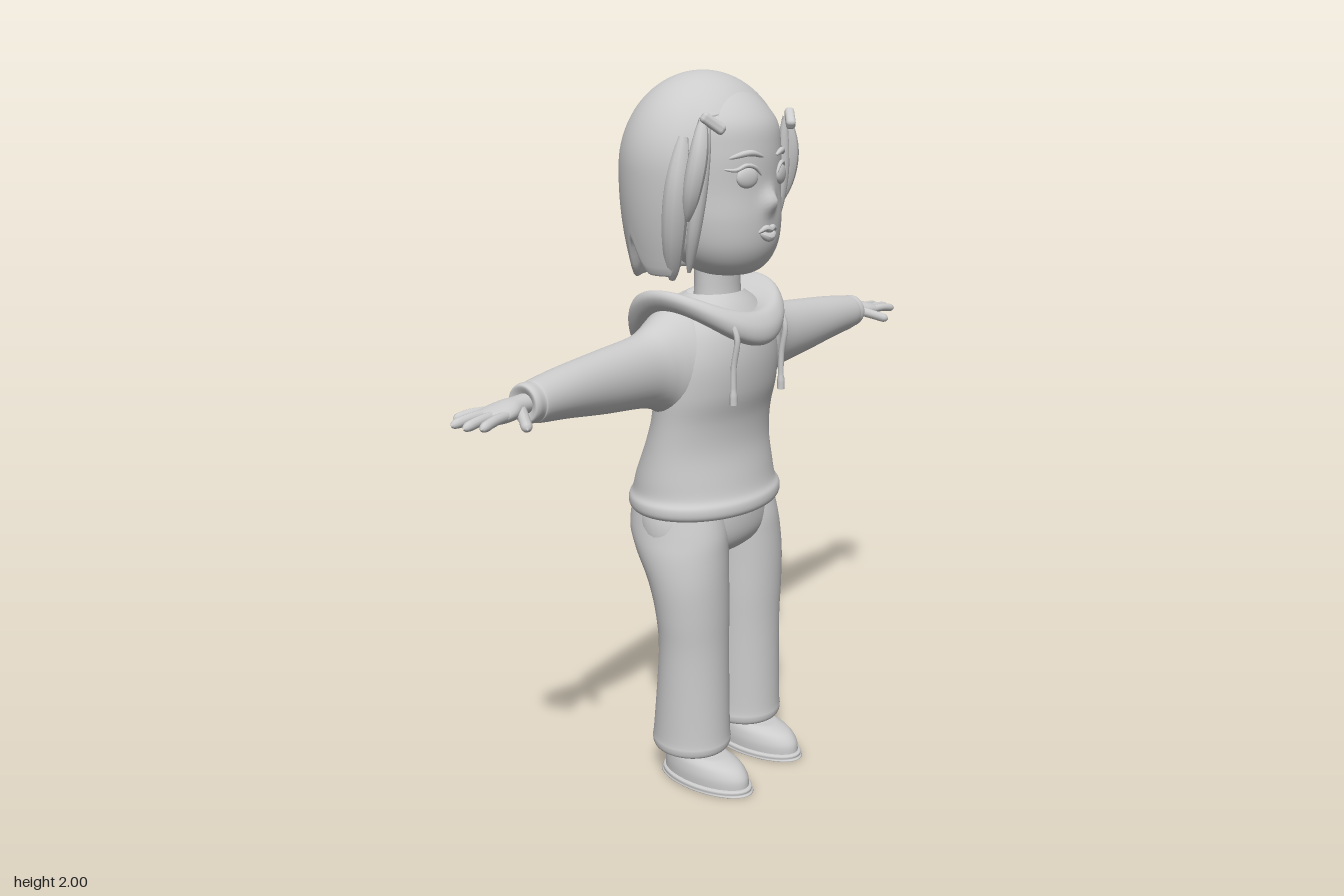
import * as THREE from 'three';
import { RoundedBoxGeometry } from 'three/addons/geometries/RoundedBoxGeometry.js';

const grey = new THREE.MeshStandardMaterial({ color: 0xcccccc });
const greyBoth = new THREE.MeshStandardMaterial({ color: 0xcccccc, side: THREE.DoubleSide });
const MID = -0.014; // x of the body's middle

// Smooth skin over a list of section keys; toPoint(key, angle) places each vertex
function loft(keys, toPoint, { steps = 5, sides = 40 } = {}) {
  const rows = [];
  const at = (i) => keys[Math.min(Math.max(i, 0), keys.length - 1)];
  for (let i = 0; i < keys.length - 1; i++) {
    for (let s = 0; s < steps; s++) {
      const t = s / steps;
      rows.push(keys[i].map((_, k) => {
        const [a, b, c, d] = [at(i - 1)[k], at(i)[k], at(i + 1)[k], at(i + 2)[k]];
        return b + 0.5 * t * (c - a + t * (2 * a - 5 * b + 4 * c - d + t * (3 * (b - c) + d - a)));
      }));
    }
  }
  rows.push(at(keys.length));
  const pos = [], index = [];
  rows.forEach((row, i) => {
    for (let j = 0; j < sides; j++) {
      pos.push(...toPoint(row, (j / sides) * Math.PI * 2));
      if (i === rows.length - 1) continue;
      const n = (j + 1) % sides;
      const a = i * sides + j, b = i * sides + n, c = a + sides, d = b + sides;
      index.push(a, b, d, a, d, c);
    }
  });
  const g = new THREE.BufferGeometry();
  g.setAttribute('position', new THREE.Float32BufferAttribute(pos, 3));
  g.setIndex(index);
  g.computeVertexNormals();
  return g;
}

// Upright section: [y, centre x, half width, front z, back z]
const upright = ([y, cx, rx, zf, zb], a) =>
  [cx + rx * Math.sin(a), y, (zf + zb) / 2 + (zf - zb) / 2 * Math.cos(a)];
// Section along x: [x, centre y, half height, centre z, half depth]
const sideways = ([x, cy, ry, cz, rz], a) => [x, cy + ry * Math.cos(a), cz + rz * Math.sin(a)];

// Tapered strand along a curve
function strand(points, radius, taper = (t) => Math.sqrt(Math.sin(Math.PI * (0.04 + 0.94 * t)))) {
  const curve = new THREE.CatmullRomCurve3(points.map((p) => new THREE.Vector3(...p)));
  const n = 24, sides = 12;
  const g = new THREE.TubeGeometry(curve, n, radius, sides);
  const p = g.attributes.position, v = new THREE.Vector3();
  for (let i = 0; i <= n; i++) {
    const c = curve.getPointAt(i / n);
    for (let j = 0; j <= sides; j++) {
      const k = i * (sides + 1) + j;
      v.fromBufferAttribute(p, k).sub(c).multiplyScalar(taper(i / n)).add(c);
      p.setXYZ(k, v.x, v.y, v.z);
    }
  }
  g.computeVertexNormals();
  return g;
}

function mirrored(geometry) {
  const g = geometry.clone();
  const p = g.attributes.position, n = g.attributes.normal;
  for (let i = 0; i < p.count; i++) {
    p.setX(i, -p.getX(i));
    n.setX(i, -n.getX(i));
  }
  if (!g.index) g.setIndex([...Array(p.count).keys()]);
  const ix = g.index.array;
  for (let i = 0; i < ix.length; i += 3) [ix[i], ix[i + 1]] = [ix[i + 1], ix[i]];
  return g;
}

const smooth = THREE.MathUtils.smoothstep;
const faceZ = (x) => 0.025 + 0.17 * Math.sqrt(1 - (x / 0.18) ** 2);

export function createModel() {
  const model = new THREE.Group();
  const add = (name, geometry, mat = grey, x = MID) => {
    const m = new THREE.Mesh(geometry, mat);
    m.name = name;
    m.position.x = x;
    model.add(m);
  };
  const pair = (name, g, mat = grey, x = MID) => {
    add('left' + name, g, mat, x);
    add('right' + name, mirrored(g), mat, x);
  };

  // Head with a small nose and chin
  add('head', loft([
    [1.468, 0, 0.01, 0.08, 0.06], [1.475, 0, 0.07, 0.13, 0], [1.5, 0, 0.12, 0.165, -0.05],
    [1.55, 0, 0.157, 0.19, -0.1], [1.62, 0, 0.175, 0.197, -0.13], [1.7, 0, 0.18, 0.193, -0.15],
    [1.8, 0, 0.182, 0.193, -0.16], [1.88, 0, 0.17, 0.175, -0.15], [1.95, 0, 0.1, 0.1, -0.1],
    [1.96, 0, 0, 0, 0]], (k, a) => {
    const p = upright(k, a);
    if (p[2] > 0) p[2] += 0.028 * Math.exp(-((p[0] / 0.024) ** 2) - ((p[1] - 1.67) / 0.028) ** 2);
    return p;
  }, { sides: 72, steps: 7 }));
  add('neck', loft([[1.36, 0, 0.085, 0.1, -0.05], [1.42, 0, 0.075, 0.085, -0.03],
    [1.54, 0, 0.075, 0.085, -0.03]], upright));

  // Eyes, lashes and brows follow the curve of the face
  const eye = new THREE.SphereGeometry(1, 24, 16).scale(0.034, 0.027, 0.012);
  eye.rotateY(0.3).translate(0.075, 1.735, faceZ(0.075) - 0.001);
  pair('Eye', eye);
  const onFace = (pts) => pts.map(([x, y]) => [x, y, faceZ(x) + 0.003]);
  pair('Lash', strand(onFace([[0.035, 1.74], [0.055, 1.76], [0.08, 1.766], [0.105, 1.755], [0.13, 1.757]]), 0.006));
  pair('Brow', strand(onFace([[0.03, 1.787], [0.07, 1.797], [0.12, 1.785]]), 0.008));
  // Lips
  add('upperLip', strand([[-0.04, 1.592, 0.19], [-0.015, 1.602, 0.197], [0, 1.598, 0.199],
    [0.015, 1.602, 0.197], [0.04, 1.592, 0.19]], 0.009));
  add('lowerLip', strand([[-0.033, 1.589, 0.19], [0, 1.577, 0.197], [0.033, 1.589, 0.19]], 0.012));

  // Bob haircut: a shell whose lower edge depends on the direction
  const hairEdge = (a) => {
    const d = THREE.MathUtils.radToDeg(Math.min(a, Math.PI * 2 - a));
    return 1.9 - 0.015 * smooth(d, 15, 50) - 0.4 * smooth(d, 50, 72)
      + 0.09 * Math.exp(-(((d - 112) / 9) ** 2)) - 0.025 * smooth(d, 115, 145);
  };
  const hairKeys = [];
  for (let i = 0; i <= 20; i++) hairKeys.push([i / 20, 1]);
  add('hair', loft([[0.05, 0.82], [0.01, 0.88], [-0.006, 0.95], ...hairKeys], ([t, inset], a) => {
    const edge = hairEdge(a);
    const y = edge + (2 - edge) * Math.sin(t * Math.PI / 2);
    const up = Math.max(0, (y - 1.75) / 0.25), down = Math.max(0, (1.75 - y) / 0.29);
    const s = Math.sqrt(Math.max(0, 1 - up * up)) * inset;
    const rx = 0.245 - 0.045 * down * down;
    const half = 0.21 - 0.045 * down ** 2;
    return [rx * s * Math.sin(a), y, -0.022 - 0.01 * down + half * s * Math.cos(a)];
  }, { sides: 120, steps: 2 }), greyBoth);

  // Loose locks and hair clips beside the face
  pair('ClipLock', strand([[0.185, 1.88, 0.12], [0.205, 1.79, 0.12], [0.21, 1.71, 0.105], [0.2, 1.63, 0.08]], 0.026));
  pair('FaceLock', strand([[0.17, 1.87, 0.125], [0.182, 1.72, 0.11], [0.178, 1.6, 0.085], [0.155, 1.49, 0.05]], 0.02));
  pair('SideLock', strand([[0.2, 1.84, 0.07], [0.215, 1.72, 0.06], [0.205, 1.6, 0.04], [0.175, 1.47, 0.01]], 0.034));
  const clip = new RoundedBoxGeometry(0.07, 0.028, 0.026, 3, 0.01);
  clip.rotateZ(0.6).rotateY(0.7).translate(0.172, 1.873, 0.142);
  pair('HairClip', clip);

  // Sweatshirt body with its hem
  add('sweatshirt', loft([
    [0.84, 0, 0.2, 0.12, -0.15], [0.815, 0, 0.23, 0.16, -0.19], [0.825, 0, 0.248, 0.176, -0.206],
    [0.85, 0, 0.25, 0.176, -0.207], [0.872, 0, 0.238, 0.162, -0.196], [0.92, 0, 0.233, 0.15, -0.18],
    [1, 0, 0.224, 0.135, -0.145], [1.08, 0, 0.22, 0.138, -0.118], [1.16, 0, 0.222, 0.157, -0.112],
    [1.25, 0, 0.22, 0.163, -0.117], [1.33, 0, 0.195, 0.15, -0.115], [1.385, 0, 0.15, 0.12, -0.1],
    [1.42, 0, 0.09, 0.09, -0.05]], upright, { sides: 56 }));
  // Sleeves and cuffs
  pair('Sleeve', loft([
    [0.1, 1.25, 0.15, 0, 0.11], [0.17, 1.24, 0.155, -0.005, 0.115], [0.21, 1.24, 0.137, -0.01, 0.1],
    [0.25, 1.24, 0.115, -0.013, 0.085], [0.31, 1.238, 0.097, -0.015, 0.075], [0.45, 1.24, 0.083, -0.012, 0.067],
    [0.6, 1.245, 0.066, -0.005, 0.06], [0.7, 1.245, 0.054, 0, 0.053], [0.715, 1.246, 0.05, 0, 0.049],
    [0.735, 1.246, 0.05, 0, 0.05], [0.745, 1.246, 0.043, 0, 0.043], [0.735, 1.246, 0.02, 0, 0.02]],
  sideways), grey, 0);

  // Hood lying round the neck: [half width, front z, front y, side y, back depth, back y]
  add('hood', loft([
    [0.12, 0.1, 1.3, 1.36, 0.1, 1.27], [0.17, 0.17, 1.285, 1.38, 0.185, 1.2],
    [0.2, 0.2, 1.3, 1.395, 0.222, 1.22], [0.215, 0.2, 1.34, 1.425, 0.23, 1.29],
    [0.2, 0.172, 1.375, 1.442, 0.2, 1.36], [0.15, 0.13, 1.37, 1.42, 0.14, 1.35],
    [0.09, 0.085, 1.34, 1.38, 0.06, 1.33]], ([rx, zf, yf, ys, zb, yb], a) => {
    const c = Math.cos(a), front = c > 0;
    return [rx * Math.sin(a), ys + ((front ? yf : yb) - ys) * c * c, c * (front ? zf : zb)];
  }, { sides: 64 }), greyBoth);
  pair('Drawstring', strand([[0.112, 1.36, 0.16], [0.112, 1.32, 0.176], [0.112, 1.24, 0.165], [0.112, 1.14, 0.165]],
    0.009, (t) => (t > 0.85 ? 1.15 : 0.9)));

  // Hands: palm, four fingers and a thumb
  pair('Palm', loft([[0.7, 1.248, 0.025, 0, 0.028], [0.76, 1.246, 0.024, 0, 0.028], [0.8, 1.242, 0.025, 0, 0.042],
    [0.84, 1.238, 0.02, -0.002, 0.047], [0.86, 1.237, 0.013, -0.003, 0.04], [0.865, 1.237, 0, -0.003, 0]],
  sideways, { sides: 24 }), grey, 0);
  const fingers = [[-0.036, -0.064, 0.905], [-0.015, -0.03, 0.944], [0.008, 0.012, 0.945], [0.03, 0.048, 0.925]];
  const fingertip = (t) => (t > 0.8 ? Math.sqrt(Math.max(0.01, 1 - ((t - 0.8) / 0.2) ** 2)) : 1);
  fingers.forEach(([z0, z1, x], i) => pair('Finger' + (i + 1), strand(
    [[0.82, 1.24, z0], [(0.82 + x) / 2, 1.24, (z0 + z1) / 2], [x, 1.232, z1]], 0.0125, fingertip), grey, 0));
  pair('Thumb', strand([[0.77, 1.24, 0.02], [0.795, 1.228, 0.055], [0.82, 1.215, 0.09]], 0.014, fingertip), grey, 0);

  // Trousers: hips and two straight legs
  add('hips', loft([
    [0.665, 0, 0, 0, -0.03], [0.67, 0, 0.1, 0.06, -0.09], [0.7, 0, 0.2, 0.11, -0.13],
    [0.74, 0, 0.235, 0.133, -0.155], [0.8, 0, 0.238, 0.138, -0.172], [0.86, 0, 0.22, 0.13, -0.17]],
  upright, { sides: 48 }));
  pair('TrouserLeg', loft([
    [0.14, 0.127, 0.07, 0.1, -0.04], [0.105, 0.127, 0.085, 0.12, -0.06], [0.105, 0.127, 0.103, 0.138, -0.078],
    [0.125, 0.127, 0.11, 0.146, -0.086], [0.17, 0.127, 0.107, 0.143, -0.08], [0.4, 0.127, 0.106, 0.137, -0.058],
    [0.52, 0.13, 0.112, 0.138, -0.062], [0.62, 0.132, 0.118, 0.138, -0.088], [0.7, 0.128, 0.122, 0.136, -0.135],
    [0.76, 0.122, 0.118, 0.133, -0.165], [0.83, 0.115, 0.11, 0.12, -0.165]], upright));

  // Shoes with a thin sole
  pair('Sole', loft([
    [0, 0.127, 0, 0.09, 0.08], [0, 0.127, 0.072, 0.23, -0.06], [0.008, 0.127, 0.078, 0.236, -0.065],
    [0.018, 0.127, 0.077, 0.235, -0.064], [0.022, 0.127, 0.06, 0.21, -0.05]], upright));
  pair('Shoe', loft([
    [0.012, 0.127, 0.07, 0.228, -0.058], [0.045, 0.127, 0.071, 0.224, -0.058], [0.072, 0.127, 0.066, 0.2, -0.058],
    [0.088, 0.127, 0.058, 0.155, -0.057], [0.1, 0.127, 0.054, 0.105, -0.056], [0.17, 0.127, 0.05, 0.085, -0.05]], upright));

  return model;
}
